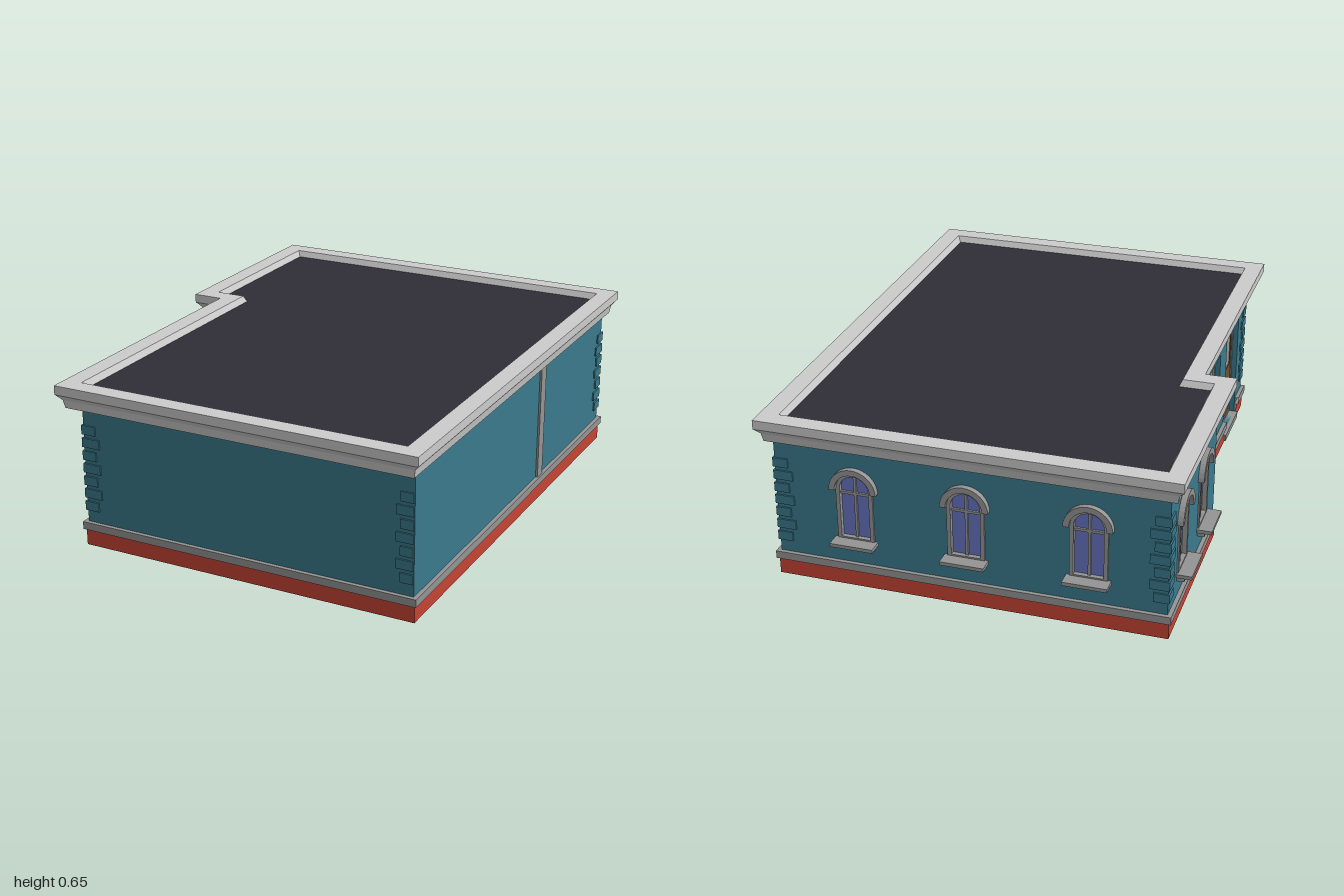
import * as THREE from 'three';

const mat = (name, color, side = THREE.FrontSide) => {
  const m = new THREE.MeshStandardMaterial({ color, side });
  m.name = name;
  return m;
};

export function createModel() {
  const D = THREE.DoubleSide;
  const teal = mat('teal wall', 0x3a7a8c, D), red = mat('red plinth', 0xc54434, D);
  const light = mat('light grey cornice', 0xcccccc, D), trim = mat('grey trim', 0x949494, D);
  const roofDark = mat('dark roof', 0x2f2e38), pane = mat('grey pane', 0x989898, D);
  const blue = mat('blue glass', 0x6672c0, D), brown = mat('brown door', 0x705328);

  const model = new THREE.Group();
  const add = (parent, name, geo, m, x = 0, y = 0, z = 0) => {
    const mesh = new THREE.Mesh(geo, m);
    mesh.name = name;
    mesh.position.set(x, y, z);
    parent.add(mesh);
    return mesh;
  };
  // box given by its limits
  const box = (parent, name, m, x0, x1, y0, y1, z0, z1) =>
    add(parent, name, new THREE.BoxGeometry(x1 - x0, y1 - y0, z1 - z0), m,
      (x0 + x1) / 2, (y0 + y1) / 2, (z0 + z1) / 2);

  // L-shaped plans, grown outwards by d, as [x, z] corners
  const plan = (x0, x1, z0, z1, xn, zn) => d => [
    [xn - d, z1 + d], [x1 + d, z1 + d], [x1 + d, z0 - d],
    [x0 - d, z0 - d], [x0 - d, zn + d], [xn - d, zn + d]];
  const W = { l: -0.725, r: 0.735, b: -0.94, f: 0.92, xn: -0.6, zn: -0.215 };
  const wallPlan = plan(W.l, W.r, W.b, W.f, W.xn, W.zn);
  const cornicePlan = plan(-0.78, 0.78, -1, 1, -0.66, -0.155);
  const door = { z0: 0.56, z1: 0.8, y0: 0.03, y1: 0.48 };
  // the plinth path stops on both sides of the door
  const plinthPath = d => [[W.xn - d, door.z1], ...wallPlan(d), [W.xn - d, door.z0]];

  // sweep a profile of [offset, y] along a plan
  const sweep = (profile, path, closed) => {
    const v = [];
    const rows = profile.map(([d, y]) => path(d).map(([x, z]) => [x, y, z]));
    const n = rows[0].length;
    for (let j = 0; j < rows.length - 1; j++) {
      for (let i = 0; i < (closed ? n : n - 1); i++) {
        const k = (i + 1) % n;
        const a = rows[j][i], b = rows[j][k], c = rows[j + 1][k], e = rows[j + 1][i];
        v.push(...a, ...b, ...c, ...a, ...c, ...e);
      }
    }
    const g = new THREE.BufferGeometry();
    g.setAttribute('position', new THREE.Float32BufferAttribute(v, 3));
    g.computeVertexNormals();
    return g;
  };
  const flat = (pts, s) => new THREE.ShapeGeometry(
    new THREE.Shape(pts.map(([x, z]) => new THREE.Vector2(x, s * z)))).rotateX(s * Math.PI / 2);

  add(model, 'plinth', sweep([[0, 0], [0.007, 0], [0.007, 0.065]], plinthPath, false), red);
  add(model, 'plinthBand',
    sweep([[0, 0.065], [0.016, 0.065], [0.016, 0.095], [0, 0.095]], plinthPath, false), trim);
  add(model, 'cornice', sweep([[-0.09, 0.56], [-0.026, 0.56], [-0.02, 0.592], [0, 0.615],
    [0, 0.65], [-0.07, 0.65], [-0.083, 0.622]], cornicePlan, true), light);
  add(model, 'roof', flat(cornicePlan(-0.08), -1), roofDark, 0, 0.625);
  add(model, 'ceiling', flat(wallPlan(0), 1), light, 0, 0.565);

  // outlines in wall coordinates (u along the wall, y up)
  const rect = (u0, u1, y0, y1) => new THREE.Shape(
    [[u0, y0], [u1, y0], [u1, y1], [u0, y1]].map(p => new THREE.Vector2(...p)));
  const SPRING = 0.395;
  const arch = (u, r, y0) => {
    const s = new THREE.Shape();
    s.moveTo(u - r, y0);
    s.lineTo(u + r, y0);
    s.lineTo(u + r, SPRING);
    s.absarc(u, SPRING, r, 0, Math.PI, false);
    return s;
  };
  const ring = (outer, inner, depth) => {
    outer.holes.push(inner);
    return new THREE.ExtrudeGeometry(outer, { depth, bevelEnabled: false, curveSegments: 8 });
  };

  // one wall facing its local +z, at the given distance from the centre
  const wall = (name, angle, dist, u0, u1, holes = []) => {
    const g = new THREE.Group();
    g.name = name;
    g.rotation.y = angle;
    model.add(g);
    const s = rect(u0, u1, 0, 0.58);
    s.holes.push(...holes);
    add(g, name + 'Surface', new THREE.ShapeGeometry(s, 8), teal, 0, 0, dist);
    return g;
  };

  // arched window with hood, frame, glazing bars and projecting sill
  const archedWindow = (parent, u, dist) => {
    const g = new THREE.Group();
    g.name = 'archedWindow';
    g.position.set(u, 0, dist);
    parent.add(g);
    add(g, 'windowGlass', new THREE.ShapeGeometry(arch(0, 0.062, 0.19), 8), blue, 0, 0, -0.012);
    add(g, 'windowFrame', ring(arch(0, 0.07, 0.185), arch(0, 0.055, 0.2), 0.022), trim, 0, 0, -0.016);
    box(g, 'mullion', trim, -0.005, 0.005, 0.195, 0.452, -0.016, -0.004);
    box(g, 'transom', trim, -0.056, 0.056, 0.372, 0.382, -0.016, -0.004);
    const hood = new THREE.Shape();
    hood.absarc(0, SPRING, 0.09, 0, Math.PI, false);
    hood.absarc(0, SPRING, 0.068, Math.PI, 0, true);
    add(g, 'windowHood', new THREE.ExtrudeGeometry(hood,
      { depth: 0.022, bevelEnabled: false, curveSegments: 8 }), trim);
    box(g, 'windowSill', trim, -0.082, 0.082, 0.18, 0.194, -0.01, 0.058);
    box(g, 'sillBracket', trim, -0.07, 0.07, 0.16, 0.18, -0.005, 0.028);
  };
  const archedWall = (name, angle, dist, u0, u1, centres) => {
    const g = wall(name, angle, dist, u0, u1, centres.map(u => arch(u, 0.066, 0.19)));
    centres.forEach(u => archedWindow(g, u, dist));
  };

  wall('frontWall', 0, W.f, W.xn, W.r);
  wall('rightWall', Math.PI / 2, W.r, -W.f, -W.b);
  wall('stepWall', 0, W.zn, W.l, W.xn);
  archedWall('backWall', Math.PI, -W.b, -W.r, -W.l, [-0.43, -0.01, 0.44]);
  archedWall('wingWall', -Math.PI / 2, -W.l, W.b, W.zn, [-0.75, -0.43]);

  // entrance wall with shop window and door
  const sw = [-0.17, 0.44, 0.2, 0.46], dr = [door.z0, door.z1, door.y0, door.y1];
  const grow = ([a, b, c, d], e) => rect(a - e, b + e, c - e, d + e);
  const dist = -W.xn;
  const entrance = wall('entranceWall', -Math.PI / 2, dist, W.zn, W.f, [grow(sw, 0), grow(dr, 0)]);
  for (const [n, o] of [['shopWindow', sw], ['door', dr]]) {
    add(entrance, n + 'Reveal', ring(grow(o, 0.006), grow(o, 0), 0.034), teal, 0, 0, dist - 0.035);
    add(entrance, n + 'Frame', ring(grow(o, 0), grow(o, -0.012), 0.014), trim, 0, 0, dist - 0.036);
  }
  add(entrance, 'shopPane', new THREE.ShapeGeometry(grow(sw, -0.01)), pane, 0, 0, dist - 0.03);
  box(entrance, 'doorPanel', brown, 0.57, 0.79, 0.04, 0.27, dist - 0.034, dist - 0.026);
  box(entrance, 'doorRail', brown, 0.57, 0.79, 0.45, 0.47, dist - 0.034, dist - 0.026);
  for (const u of [0.57, 0.775])
    box(entrance, 'doorStile', brown, u, u + 0.015, 0.27, 0.45, dist - 0.034, dist - 0.026);
  add(entrance, 'doorPane', new THREE.ShapeGeometry(rect(0.58, 0.78, 0.265, 0.455)), pane,
    0, 0, dist - 0.03);
  box(entrance, 'threshold', trim, 0.56, 0.8, 0.005, 0.03, dist - 0.03, dist + 0.015);

  // pilaster on the right wall
  box(model, 'pilaster', trim, W.r - 0.005, W.r + 0.008, 0.095, 0.56, -0.27, -0.22);

  // corner stones, alternately short and long
  const corners = [[W.xn, W.f, -1, 1, 0.006], [W.r, W.f, 1, 1, -0.002],
    [W.r, W.b, 1, -1, 0.006], [W.l, W.b, -1, -1, 0.006]];
  for (const [x, z, sx, sz, out] of corners) {
    for (let i = 0; i < 7; i++) {
      const y = 0.16 + i * 0.0505, len = i % 2 ? 0.068 : 0.052;
      const xo = x + sx * out, xi = x - sx * len, zo = z + sz * 0.006, zi = z - sz * len;
      box(model, 'cornerStone', teal, Math.min(xo, xi), Math.max(xo, xi),
        y - 0.018, y + 0.018, Math.min(zo, zi), Math.max(zo, zi));
    }
  }
  return model;
}
